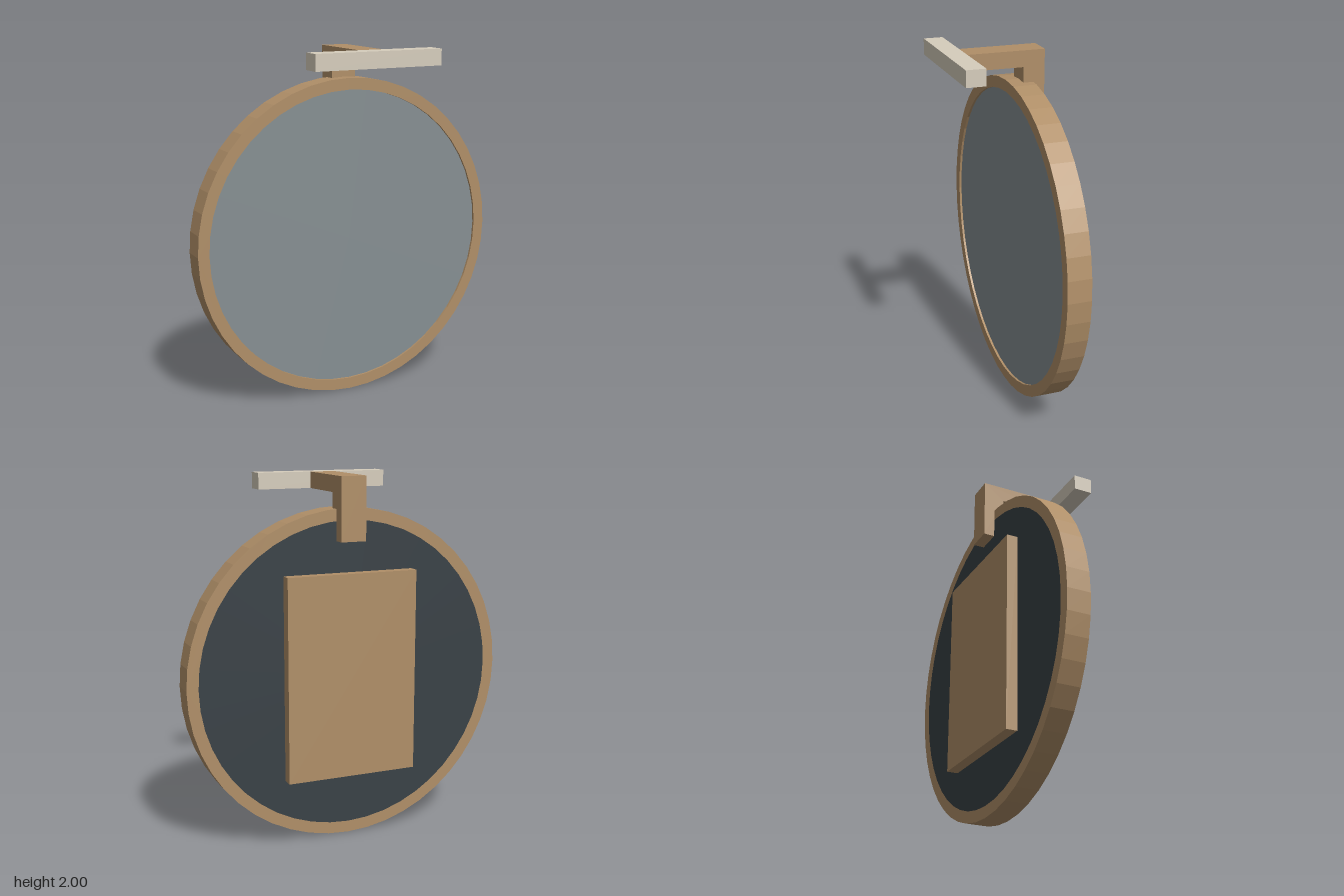
import * as THREE from 'three';

const mat = (name, color) => Object.assign(new THREE.MeshStandardMaterial({ color, flatShading: true }), { name });

export function createModel() {
  const wood = mat('wood', 0xb08f68);
  const glass = mat('mirror glass', 0x868f92);
  const backing = mat('dark backing', 0x394146);
  const lampWhite = mat('lamp cream', 0xd6cdbc);

  const group = new THREE.Group();
  group.name = 'roundMirror';
  const SIDES = 48, CY = 0.915, R = 0.915, INNER = 0.85;
  const FRONT = -0.075, BACK = -0.207, GLASS = -0.088;

  const add = (name, geometry, material, x = 0, y = 0, z = 0) => {
    const mesh = new THREE.Mesh(geometry, material);
    mesh.name = name;
    mesh.position.set(x, y, z);
    group.add(mesh);
    return mesh;
  };
  // box given by half width and its y and z limits
  const bar = (name, material, halfW, y0, y1, z0, z1) =>
    add(name, new THREE.BoxGeometry(2 * halfW, y1 - y0, z1 - z0), material, 0, (y0 + y1) / 2, (z0 + z1) / 2);
  const circle = (Type, r) => new Type(Array.from({ length: SIDES }, (_, i) => {
    const a = (i / SIDES) * Math.PI * 2;
    return new THREE.Vector2(r * Math.cos(a), r * Math.sin(a));
  }));

  // wooden hoop
  const ring = circle(THREE.Shape, R);
  ring.holes.push(circle(THREE.Path, INNER));
  add('frameRing', new THREE.ExtrudeGeometry(ring, { depth: FRONT - BACK, bevelEnabled: false }), wood, 0, CY, BACK);

  // recessed glass in front, flush dark panel behind
  add('mirrorGlass', new THREE.CircleGeometry(INNER, SIDES), glass, 0, CY, GLASS);
  add('backPanel', new THREE.CircleGeometry(INNER, SIDES), backing, 0, CY, BACK).rotation.y = Math.PI;

  // mounting plate
  bar('backPlate', wood, 0.375, 0.355, 1.485, -0.27, BACK);

  // bent lamp bracket
  const hook = new THREE.Shape([
    [0.162, 2], [-0.27, 2], [-0.27, 1.655], [-0.15, 1.655], [-0.15, 1.91], [0.162, 1.91],
  ].map(([z, y]) => new THREE.Vector2(-z, y)));
  add('lampBracket', new THREE.ExtrudeGeometry(hook, { depth: 0.144, bevelEnabled: false }), wood, -0.072)
    .rotation.y = Math.PI / 2;

  // lamp bar
  bar('lampBar', lampWhite, 0.377, 1.91, 2, 0.162, 0.27);

  return group;
}
